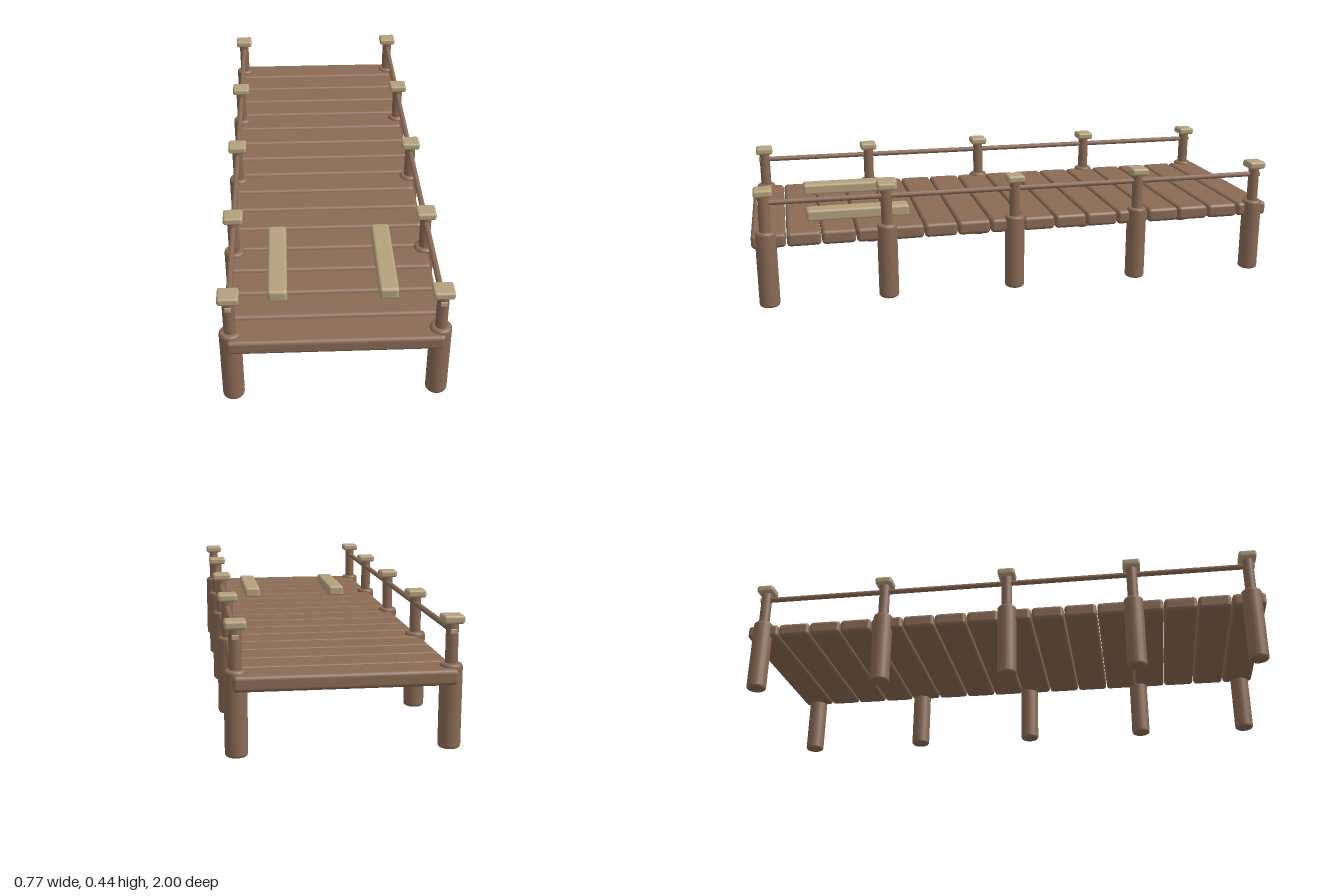
import * as THREE from 'three';
import { RoundedBoxGeometry } from 'three/addons/geometries/RoundedBoxGeometry.js';

export function createModel() {
  const root = new THREE.Group();
  root.name = 'dock';
  const wood = new THREE.MeshStandardMaterial({ color: 0x8a6a54 });
  wood.name = 'brown wood';
  const pale = new THREE.MeshStandardMaterial({ color: 0xb3a07c });
  pale.name = 'pale wood';

  const add = (name, geometry, material, x, y, z) => {
    const mesh = new THREE.Mesh(geometry, material);
    mesh.name = name;
    mesh.position.set(x, y, z);
    root.add(mesh);
    return mesh;
  };

  // Deck: sixteen rounded planks laid side by side
  const count = 16, pitch = 2 / count;
  const plank = new RoundedBoxGeometry(0.716, 0.053, 0.122, 3, 0.014);
  for (let i = 0; i < count; i++) {
    add('plank', plank, wood, 0, 0.246, -1 + pitch * (i + 0.5));
  }

  // Pile: round with softened rims
  const r = 0.037, h = 0.283, b = 0.011;
  const profile = [new THREE.Vector2(0, 0)];
  for (let i = 0; i <= 4; i++) {
    const a = (i / 4) * Math.PI / 2;
    profile.push(new THREE.Vector2(r - b + b * Math.sin(a), b - b * Math.cos(a)));
  }
  for (let i = 0; i <= 4; i++) {
    const a = (i / 4) * Math.PI / 2;
    profile.push(new THREE.Vector2(r - b + b * Math.cos(a), h - b + b * Math.sin(a)));
  }
  profile.push(new THREE.Vector2(0, h));
  const pile = new THREE.LatheGeometry(profile, 20);
  const post = new THREE.CylinderGeometry(0.0205, 0.0205, 0.15, 16);
  const cap = new RoundedBoxGeometry(0.07, 0.028, 0.066, 3, 0.009);
  const rail = new THREE.CylinderGeometry(0.01, 0.01, 1.925, 10);
  rail.rotateX(Math.PI / 2);
  const railEnd = new RoundedBoxGeometry(0.022, 0.017, 0.008, 2, 0.003);
  const bumper = new RoundedBoxGeometry(0.068, 0.047, 0.385, 3, 0.012);

  for (const side of [-1, 1]) {
    const x = side * 0.346;
    // Piles with slim railing posts and caps
    for (const z of [0.947, 0.513, 0.032, -0.455, -0.941]) {
      add('pile', pile, wood, x, 0, z);
      add('railingPost', post, wood, x, 0.345, z);
      add('postCap', cap, pale, side * 0.345, 0.427, z);
    }
    // Handrail with pale end plugs
    add('handrail', rail, wood, x, 0.388, 0.003);
    for (const z of [0.967, -0.961]) add('railEnd', railEnd, pale, x, 0.388, z);
    // Raised beam on the deck
    add('deckBeam', bumper, pale, side * 0.191, 0.291, 0.606);
  }
  return root;
}
